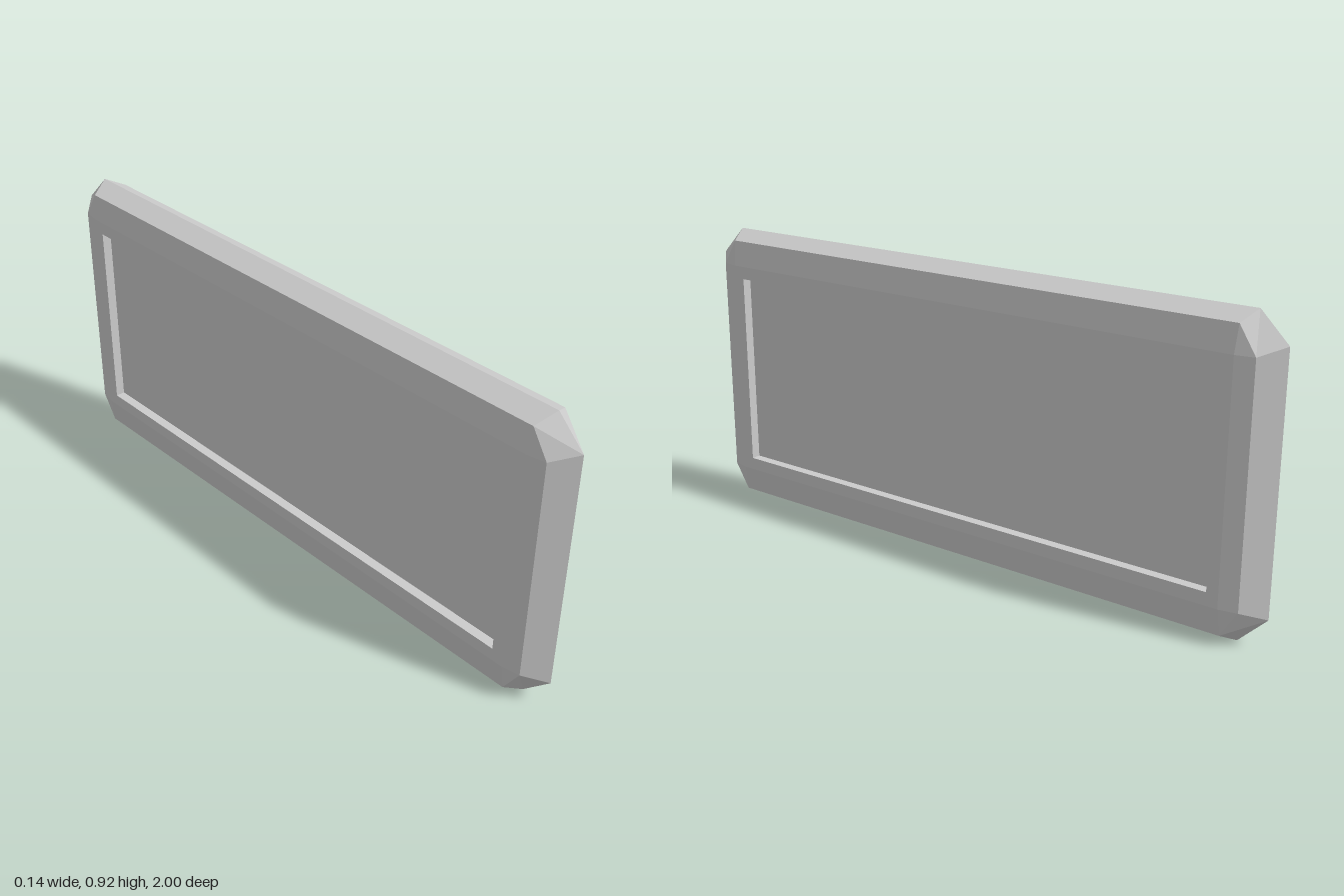
import * as THREE from 'three';

const MID_Y = 0.4575;

// Eight-point loop around the slab at depth x; two points per corner: (z1, y1) on the end, (z2, y2) on the long edge
function ring(x, z1, y1, z2 = z1, y2 = y1) {
  const points = [];
  for (const [sz, sy] of [[1, 1], [-1, 1], [-1, -1], [1, -1]]) {
    const pair = [
      new THREE.Vector3(x, MID_Y + sy * y1, sz * z1),
      new THREE.Vector3(x, MID_Y + sy * y2, sz * z2),
    ];
    points.push(...(sz * sy > 0 ? pair : pair.reverse()));
  }
  return points;
}

// Joins successive loops with flat faces, skipping collapsed triangles
function loft(rings, flip) {
  const pos = [];
  const tri = (a, b, c) => {
    if (a.equals(b) || b.equals(c) || c.equals(a)) return;
    for (const p of flip ? [a, c, b] : [a, b, c]) pos.push(p.x, p.y, p.z);
  };
  for (let r = 0; r < rings.length - 1; r++) {
    const outer = rings[r], inner = rings[r + 1];
    for (let i = 0; i < 8; i++) {
      const j = (i + 1) % 8;
      tri(outer[i], outer[j], inner[j]);
      tri(outer[i], inner[j], inner[i]);
    }
  }
  const geometry = new THREE.BufferGeometry();
  geometry.setAttribute('position', new THREE.Float32BufferAttribute(pos, 3));
  geometry.computeVertexNormals();
  return geometry;
}

export function createModel() {
  const group = new THREE.Group();
  group.name = 'bevelledPanel';
  const material = new THREE.MeshStandardMaterial({ color: 0xcccccc, flatShading: true });

  for (const side of [1, -1]) {
    const prefix = side > 0 ? 'left' : 'right';

    // Frame: central ridge, bevel, soft shoulder, flat border, recess wall
    const frame = new THREE.Mesh(loft([
      ring(0, 1, 0.3725, 0.915, 0.4575),
      ring(side * 0.06, 0.94, 0.3475, 0.89, 0.4275),
      ring(side * 0.07, 0.885, 0.3475),
      ring(side * 0.07, 0.85, 0.3075),
      ring(side * 0.04, 0.85, 0.3075),
    ], side > 0), material);
    frame.name = prefix + 'Frame';

    // Recessed flat panel
    const panel = new THREE.Mesh(new THREE.PlaneGeometry(1.7, 0.615), material);
    panel.rotation.y = side * Math.PI / 2;
    panel.position.set(side * 0.04, MID_Y, 0);
    panel.name = prefix + 'RecessedPanel';

    group.add(frame, panel);
  }
  return group;
}
